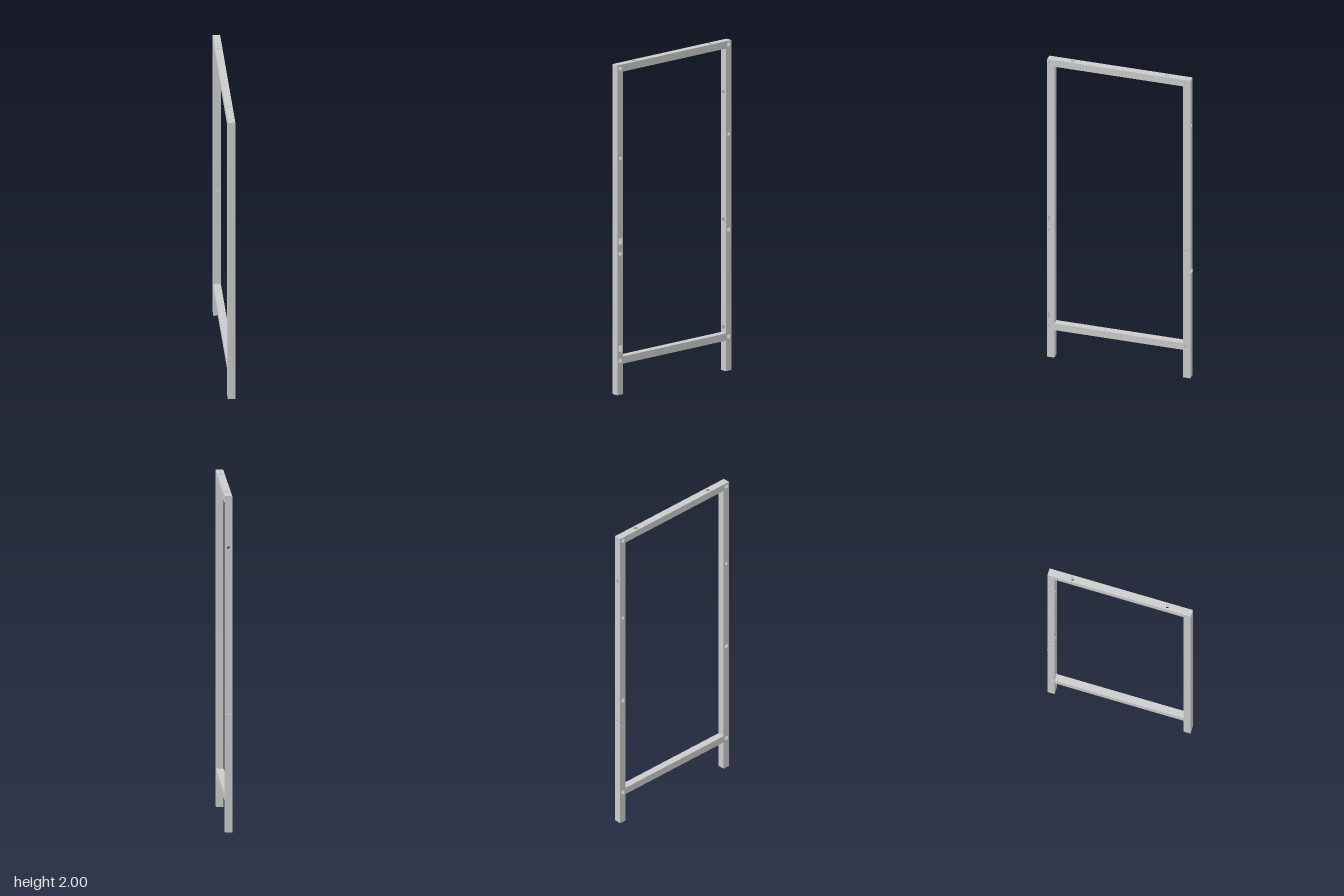
import * as THREE from 'three';

const A = 0.044;    // square tube width
const T = 0.003;    // wall thickness
const mat = new THREE.MeshStandardMaterial({ color: 0xcccccc });

// Flat wall, w wide (local x), from y0 to y1, front on local z = 0, pierced by holes
// Hole: { x, y, r } for round, { x, y, w, h } for a rectangular slot
function wall(w, y0, y1, holes = []) {
  const s = new THREE.Shape();
  s.moveTo(-w / 2, y0).lineTo(w / 2, y0).lineTo(w / 2, y1).lineTo(-w / 2, y1).closePath();
  for (const { x = 0, y, r, w: sw, h } of holes) {
    const p = new THREE.Path();
    if (r) p.absarc(x, y, r, 0, Math.PI * 2, true);
    else {
      p.moveTo(x - sw / 2, y - h / 2).lineTo(x - sw / 2, y + h / 2);
      p.lineTo(x + sw / 2, y + h / 2).lineTo(x + sw / 2, y - h / 2).closePath();
    }
    s.holes.push(p);
  }
  const g = new THREE.ExtrudeGeometry(s, { depth: T, bevelEnabled: false, curveSegments: 12 });
  return g.translate(0, 0, -T);
}

// Hollow square tube along local y; holes are listed per wall
function tube(name, y0, y1, { left, right, front, back } = {}) {
  const group = new THREE.Group();
  group.name = name;
  const sides = [
    ['frontWall', 0, A - 2 * T, front], ['leftWall', Math.PI / 2, A, left],
    ['backWall', Math.PI, A - 2 * T, back], ['rightWall', -Math.PI / 2, A, right],
  ];
  for (const [label, turn, w, holes] of sides) {
    const mesh = new THREE.Mesh(wall(w, y0, y1, holes).translate(0, 0, A / 2).rotateY(turn), mat);
    mesh.name = label;
    group.add(mesh);
  }
  return group;
}

export function createModel() {
  const model = new THREE.Group();
  model.name = 'sideFrame';
  const zFront = 0.418, zBack = -0.415;

  // Bolt holes running sideways through both posts
  const bolts = [[0.207, 0.013], [0.855, 0.013], [1.435, 0.01], [1.978, 0.013]]
    .map(([y, r]) => ({ y, r }));
  const slots = [0.28, 0.93].map((y) => ({ y, w: 0.026, h: 0.036 }));

  // Posts
  const frontPost = tube('frontPost', 0, 2, { left: [...bolts, ...slots], right: bolts });
  frontPost.position.z = zFront;
  const backPost = tube('backPost', 0, 2, {
    left: bolts, right: bolts,
    front: [{ y: 0.265, r: 0.012 }, { y: 0.915, r: 0.012 }, { y: 1.69, r: 0.01 }],
    back: [{ y: 0.71, r: 0.011 }, { y: 1.69, r: 0.01 }],
  });
  backPost.position.z = zBack;

  // Closed post tops
  for (const post of [frontPost, backPost]) {
    const cap = new THREE.Mesh(new THREE.BoxGeometry(A - 2 * T, T, A - 2 * T), mat);
    cap.name = 'topCap';
    cap.position.y = 2 - T / 2;
    post.add(cap);
  }

  // Threaded insert with a thin flange on the back post
  const profile = [[0.011, -0.02], [0.013, -0.02], [0.013, 0], [0.017, 0], [0.017, 0.003], [0.011, 0.003], [0.011, -0.02]];
  const insert = new THREE.Mesh(
    new THREE.LatheGeometry(profile.map(([x, y]) => new THREE.Vector2(x, y)), 24),
    new THREE.MeshStandardMaterial({ color: 0xcccccc, side: THREE.DoubleSide, flatShading: true }));
  insert.name = 'threadedInsert';
  insert.rotation.x = -Math.PI / 2;
  insert.position.set(0, 0.71, -A / 2);
  backPost.add(insert);

  // Rails between the posts, local y turned to +z (local back wall faces up)
  const z0 = zBack + A / 2, z1 = zFront - A / 2;
  const railHoles = [-0.29, 0.29].map((y) => ({ y, r: 0.012 }));
  const topRail = tube('topRail', z0, z1, { front: railHoles, back: railHoles });
  const bottomRail = tube('bottomRail', z0, z1);
  topRail.position.y = 2 - A / 2;
  bottomRail.position.y = 0.207;
  for (const rail of [topRail, bottomRail]) rail.rotation.x = Math.PI / 2;

  model.add(frontPost, backPost, topRail, bottomRail);
  return model;
}
